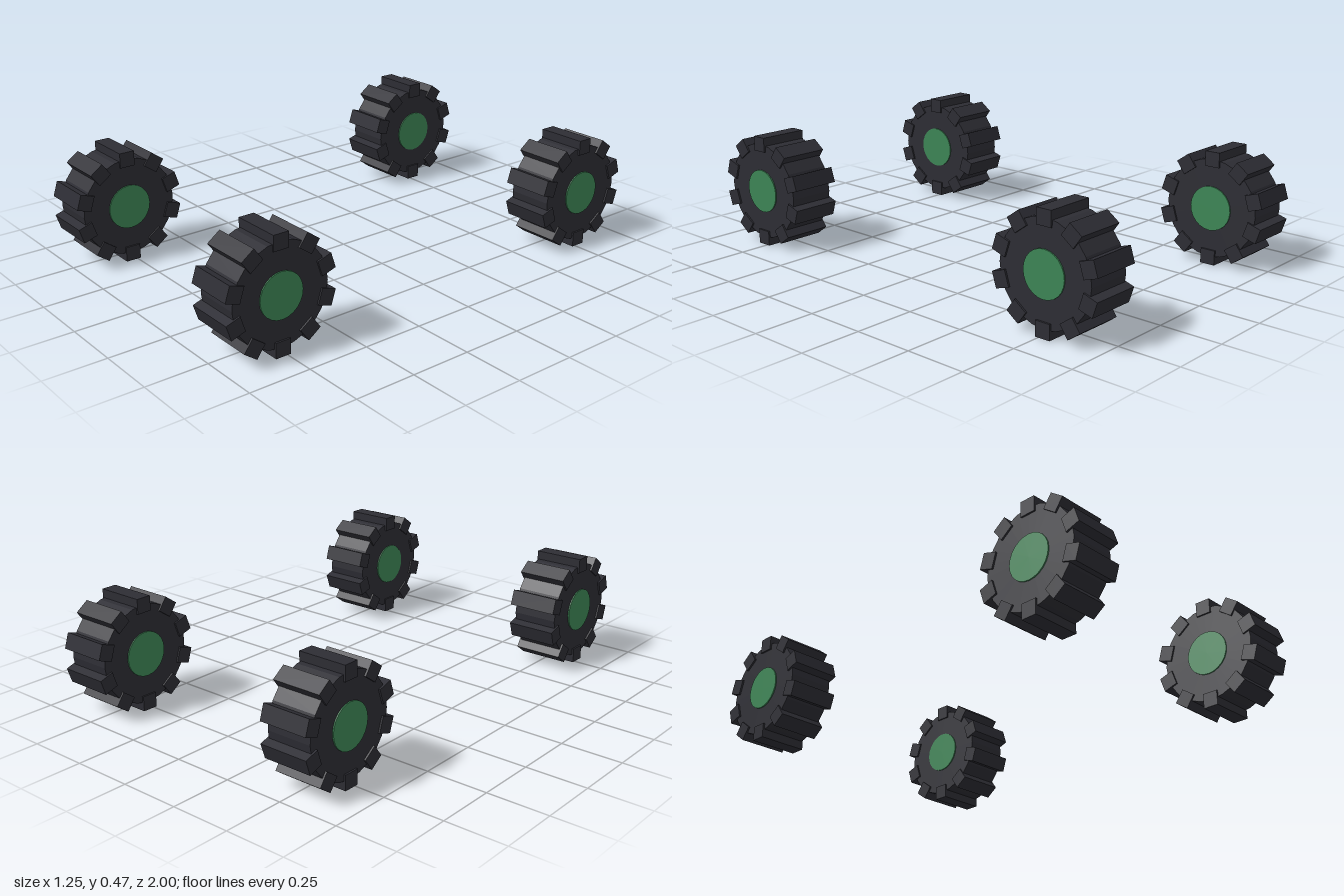
import * as THREE from 'three';

const OUTER = 0.2333, TYRE_R = 0.202, HUB_R = 0.091;
const LUGS = 10, LUG_W = 0.064, LUG_IN = 0.172;

export function createModel() {
  const rubber = new THREE.MeshStandardMaterial({ color: 0x2d2d34, flatShading: true });
  rubber.name = 'darkRubber';
  const green = new THREE.MeshStandardMaterial({ color: 0x3d8656, flatShading: true });
  green.name = 'hubGreen';

  // Cylinders lie along the x axle
  const tyreGeo = new THREE.CylinderGeometry(TYRE_R, TYRE_R, 0.19, 24).rotateZ(Math.PI / 2);
  const hubGeo = new THREE.CylinderGeometry(HUB_R, HUB_R, 0.2, 24).rotateZ(Math.PI / 2);
  const lugGeo = new THREE.BoxGeometry(0.205, OUTER - LUG_IN, LUG_W)
    .translate(0, (OUTER + LUG_IN) / 2, 0);

  function part(name, geometry, material) {
    const mesh = new THREE.Mesh(geometry, material);
    mesh.name = name;
    return mesh;
  }

  function makeWheel(name) {
    const wheel = new THREE.Group();
    wheel.name = name;
    wheel.add(part('tyre', tyreGeo, rubber), part('hub', hubGeo, green));
    // Tread blocks spaced evenly round the tyre
    for (let i = 0; i < LUGS; i++) {
      const lug = part('treadLug', lugGeo, rubber);
      lug.rotation.x = (i / LUGS) * Math.PI * 2;
      wheel.add(lug);
    }
    return wheel;
  }

  // Four wheels, mirrored across both axes
  const model = new THREE.Group();
  model.name = 'wheelSet';
  for (const [end, z] of [['front', 0.768], ['back', -0.768]]) {
    for (const [side, x] of [['Left', 0.52], ['Right', -0.52]]) {
      const wheel = makeWheel(`${end}${side}Wheel`);
      wheel.position.set(x, OUTER, z);
      model.add(wheel);
    }
  }
  return model;
}
